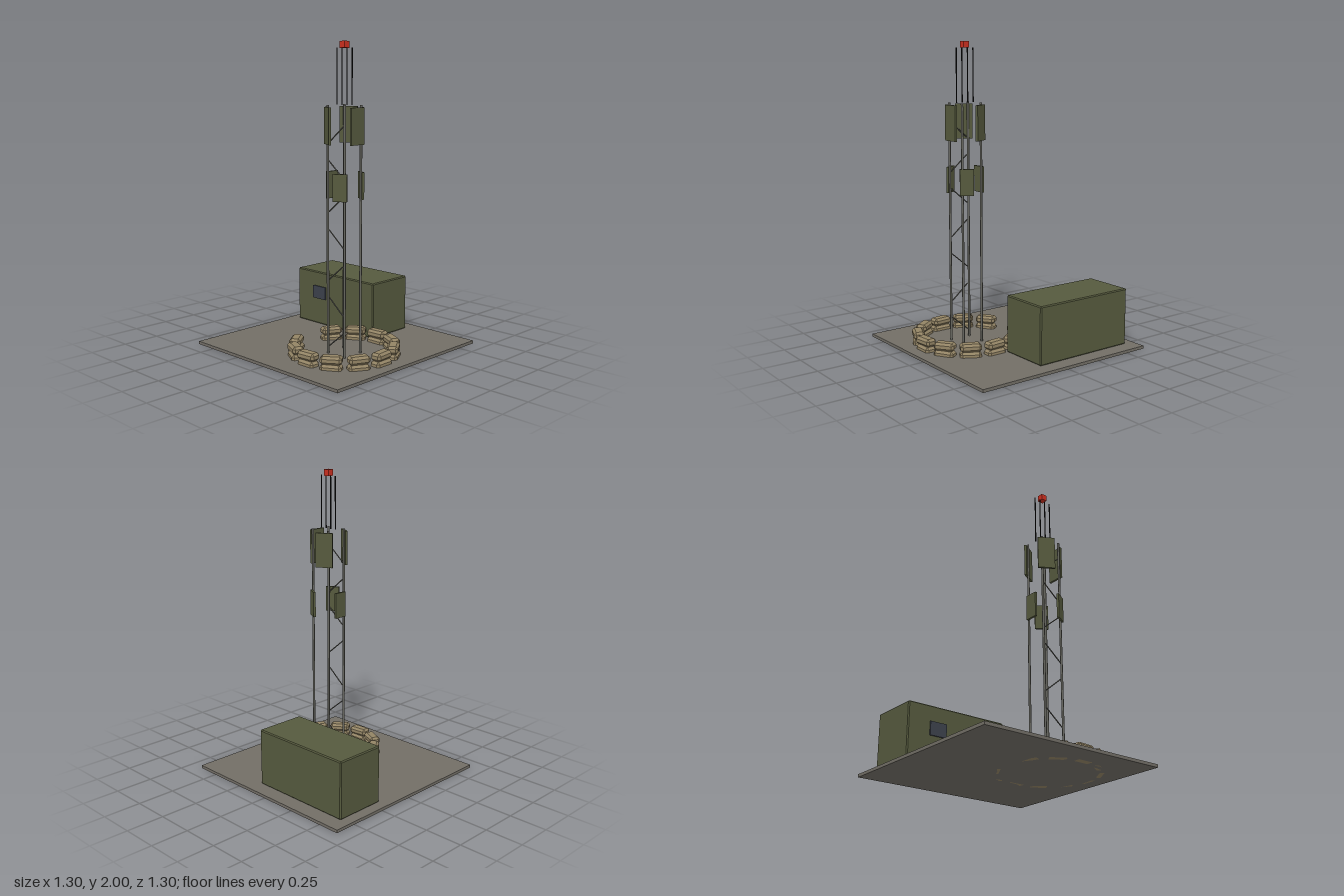
import * as THREE from 'three';
import { ConvexGeometry } from 'three/addons/geometries/ConvexGeometry.js';

const paint = (name, color) => {
  const m = new THREE.MeshStandardMaterial({ color });
  m.name = name;
  return m;
};

// Box whose edges are cut at 45 degrees by c
function chamferBox(w, h, d, c) {
  const points = [];
  for (const x of [-1, 1]) for (const y of [-1, 1]) for (const z of [-1, 1]) {
    for (const cut of [[0, c, c], [c, 0, c], [c, c, 0]]) {
      points.push(new THREE.Vector3(x * (w / 2 - cut[0]), y * (h / 2 - cut[1]), z * (d / 2 - cut[2])));
    }
  }
  return new ConvexGeometry(points);
}

export function createModel() {
  const root = new THREE.Group();
  root.name = 'radioMast';
  const ground = paint('concrete', 0x726e66);
  const olive = paint('olive', 0x565a3e);
  const steel = paint('steel', 0x66665f);
  const sand = paint('sandCanvas', 0x938465);
  const glass = paint('darkPanel', 0x3c414c);
  const black = paint('black', 0x161616);
  const red = paint('beaconRed', 0xcc3020);

  function add(parent, name, geometry, material, x, y, z) {
    const mesh = new THREE.Mesh(geometry, material);
    mesh.name = name;
    mesh.position.set(x, y, z);
    parent.add(mesh);
    return mesh;
  }

  // Ground slab and equipment shelter
  add(root, 'groundSlab', new THREE.BoxGeometry(1.3, 0.02, 1.3), ground, 0, 0.01, 0);
  add(root, 'shelter', chamferBox(0.725, 0.378, 0.345, 0.007), olive, -0.22, 0.209, -0.378);
  add(root, 'shelterPanel', new THREE.BoxGeometry(0.12, 0.09, 0.009), glass, -0.365, 0.25, -0.201);

  // Everything on the mast shares one centre
  const mast = new THREE.Group();
  mast.name = 'mast';
  mast.position.set(0.215, 0, 0.145);
  root.add(mast);
  const half = 0.073;

  // Four legs
  const legGeometry = new THREE.CylinderGeometry(0.008, 0.008, 1.59, 8);
  for (const x of [-half, half]) for (const z of [-half, half]) {
    add(mast, 'mastLeg', legGeometry, steel, x, 0.815, z);
  }

  // Zigzag braces on the front face
  const braceGeometry = new THREE.CylinderGeometry(0.004, 0.004, 0.158, 6);
  for (let i = 0; i < 7; i++) {
    const brace = add(mast, 'brace', braceGeometry, steel, 0, 0.122 + i * 0.218, half);
    brace.rotation.z = (i % 2 ? 1 : -1) * 0.88;
  }

  // Two staggered rings of three panel antennas
  const rings = [
    { y: 1.482, width: 0.115, height: 0.23, start: 0 },
    { y: 1.105, width: 0.09, height: 0.172, start: Math.PI },
  ];
  for (const ring of rings) {
    const geometry = new THREE.BoxGeometry(0.015, ring.height, ring.width);
    for (let i = 0; i < 3; i++) {
      const a = ring.start + i * Math.PI * 2 / 3;
      const panel = add(mast, 'panelAntenna', geometry, olive, 0.109 * Math.cos(a), ring.y, -0.109 * Math.sin(a));
      panel.rotation.y = a;
    }
  }

  // Whip antennas and warning beacon
  const whipGeometry = new THREE.CylinderGeometry(0.004, 0.004, 0.35, 6);
  for (let i = 0; i < 4; i++) {
    add(mast, 'whipAntenna', whipGeometry, black, (i - 1.5) * 0.043, 1.785, 0);
  }
  add(mast, 'beacon', new THREE.BoxGeometry(0.042, 0.042, 0.042), red, 0, 1.979, 0);

  // Two-layer sandbag ring, open on the right
  const bagGeometry = chamferBox(0.075, 0.052, 0.137, 0.015);
  for (let layer = 0; layer < 2; layer++) {
    for (let i = 0; i < 12; i++) {
      if (i === 6) continue;
      const a = i * Math.PI / 6;
      const bag = add(mast, 'sandbag', bagGeometry, sand, 0.32 * Math.cos(a), 0.026 + layer * 0.053, -0.32 * Math.sin(a));
      bag.rotation.y = a + layer * 0.09;
    }
  }
  return root;
}
